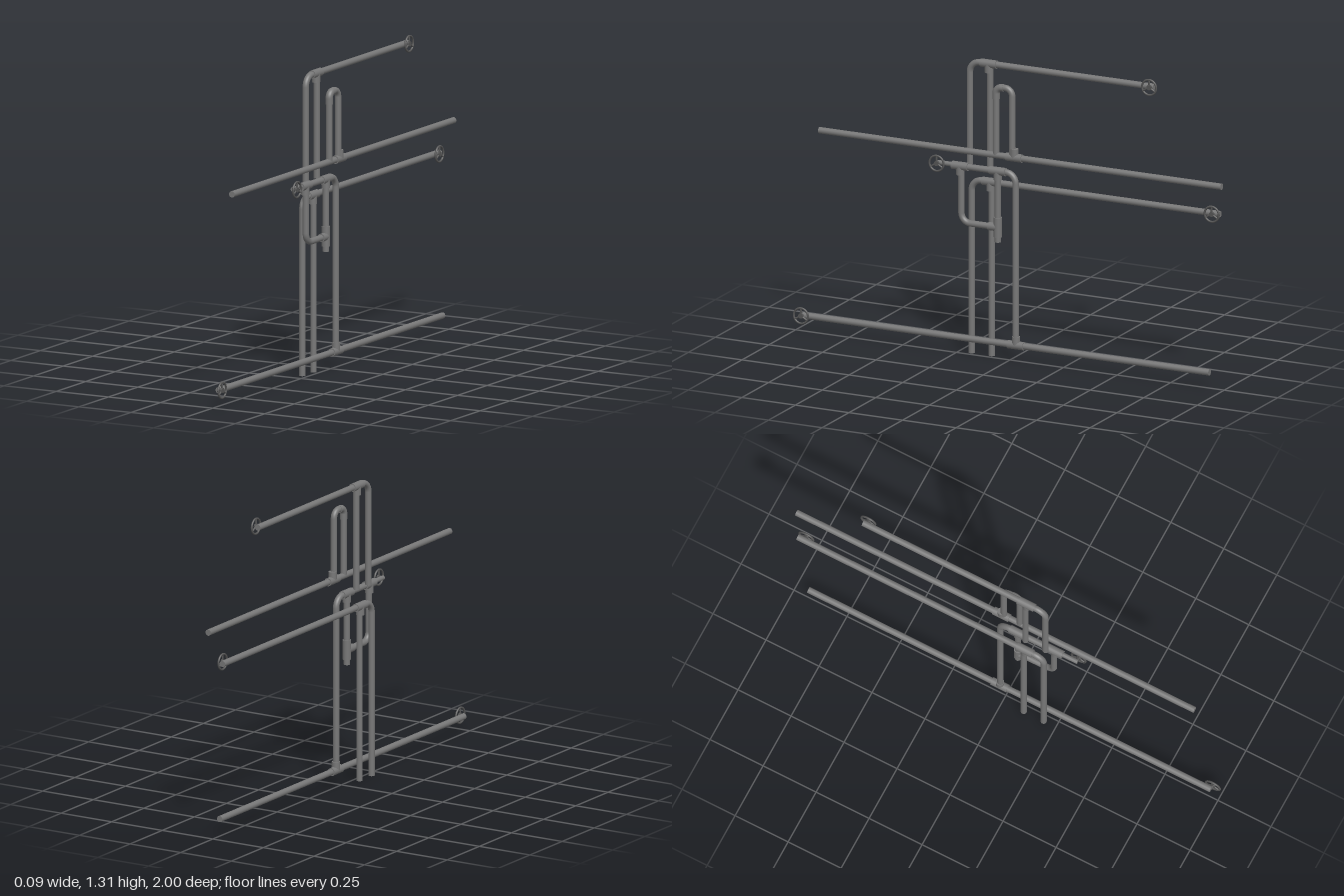
import * as THREE from 'three';

const R = 0.0135;        // pipe radius
const COLLAR = 0.0175;   // fitting radius
const pipeMaterial = new THREE.MeshStandardMaterial({ color: 0x777777 });
const wheelMaterial = new THREE.MeshStandardMaterial({ color: 0x555555 });
const UP = new THREE.Vector3(0, 1, 0);

function add(parent, name, geometry, material = pipeMaterial) {
  const mesh = new THREE.Mesh(geometry, material);
  mesh.name = name;
  parent.add(mesh);
  return mesh;
}

// Capped cylinder between two points
function rod(parent, name, a, b, radius = R, material = pipeMaterial) {
  const dir = b.clone().sub(a);
  const mesh = add(parent, name, new THREE.CylinderGeometry(radius, radius, dir.length(), 20), material);
  mesh.position.copy(a).addScaledVector(dir, 0.5);
  mesh.quaternion.setFromUnitVectors(UP, dir.normalize());
}

// Pipe through [z, y] points in the plane at x, with rounded corners
function pipe(parent, name, x, points, bend = 0.045, radius = R) {
  const p = points.map(([z, y]) => new THREE.Vector3(x, y, z));
  let start = p[0];
  for (let i = 1; i < p.length; i++) {
    if (i === p.length - 1) {
      rod(parent, name, start, p[i], radius);
      break;
    }
    const back = p[i - 1].clone().sub(p[i]).normalize();
    const ahead = p[i + 1].clone().sub(p[i]).normalize();
    const a = p[i].clone().addScaledVector(back, bend);
    const b = p[i].clone().addScaledVector(ahead, bend);
    rod(parent, name, start, a, radius);
    const curve = new THREE.CubicBezierCurve3(
      a, a.clone().lerp(p[i], 0.552), b.clone().lerp(p[i], 0.552), b);
    add(parent, name + 'Elbow', new THREE.TubeGeometry(curve, 12, radius, 20));
    start = b;
  }
}

// Thicker sleeve between two [z, y] points
function collar(parent, x, a, b) {
  rod(parent, 'collar', new THREE.Vector3(x, a[1], a[0]), new THREE.Vector3(x, b[1], b[0]), COLLAR);
}

// Tee fitting: run along z, branch going up (1) or down (-1)
function tee(parent, x, z, y, side) {
  const g = new THREE.Group();
  g.name = 'teeFitting';
  collar(g, x, [z - 0.037, y], [z + 0.037, y]);
  collar(g, x, [z, y], [z, y + side * 0.038]);
  parent.add(g);
}

// Three-spoke hand wheel on a short stem at the side of a pipe
function handWheel(parent, x, z, y) {
  const g = new THREE.Group();
  g.name = 'handWheel';
  const ring = add(g, 'rim', new THREE.TorusGeometry(0.033, 0.0045, 10, 36), wheelMaterial);
  ring.rotation.y = Math.PI / 2;
  for (let i = 0; i < 3; i++) {
    const t = i * Math.PI * 2 / 3;
    const tip = new THREE.Vector3(0, 0.033 * Math.cos(t), 0.033 * Math.sin(t));
    rod(g, 'spoke', new THREE.Vector3(), tip, 0.004, wheelMaterial);
  }
  rod(g, 'hub', new THREE.Vector3(-0.0045, 0, 0), new THREE.Vector3(0.0045, 0, 0), 0.011, wheelMaterial);
  rod(g, 'stem', new THREE.Vector3(-0.018, 0, 0), new THREE.Vector3(), 0.006, wheelMaterial);
  g.position.set(x + 0.018, y, z);
  parent.add(g);
}

export function createModel() {
  const model = new THREE.Group();
  model.name = 'pipework';
  const section = (name) => {
    const g = new THREE.Group();
    g.name = name;
    model.add(g);
    return g;
  };

  // Two matching branches: a pair of legs feeding a long pipe to the back
  const branches = [
    ['upperBranch', -0.011, 0.825, 1.272, -0.653, -0.668],
    ['lowerBranch', -0.027, 0, 0.754, -0.937, -0.968],
  ];
  for (const [name, x, bottom, top, wheelZ, end] of branches) {
    const g = section(name);
    pipe(g, 'mainPipe', x, [[0.192, bottom], [0.192, top], [end, top]]);
    pipe(g, 'secondLeg', x, [[0.098, bottom], [0.098, top]]);
    tee(g, x, 0.104, top, -1);
    handWheel(g, x, wheelZ, top);
  }

  // Long middle pipe with a hairpin loop above it
  const middle = section('middleLine');
  const mx = 0.023;
  pipe(middle, 'longPipe', mx, [[0.878, 0.89], [-1, 0.89]]);
  pipe(middle, 'loop', mx, [[-0.022, 0.89], [-0.022, 1.187], [0.053, 1.187], [0.053, 0.89]], 0.032);
  pipe(middle, 'loopFitting', mx, [[0.053, 1.135], [0.053, 1.186], [0.018, 1.186]], 0.026, 0.0155);
  tee(middle, mx, -0.032, 0.89, 1);

  // Bottom pipe with a riser and a bypass loop at the top
  const bottom = section('bottomLine');
  const bx = 0.007;
  pipe(bottom, 'longPipe', bx, [[0.963, 0.07], [-0.935, 0.07]]);
  handWheel(bottom, bx, 0.963, 0.072);
  tee(bottom, bx, -0.032, 0.07, 1);
  pipe(bottom, 'riser', bx, [[-0.03, 0.07], [-0.03, 0.816], [0.235, 0.816]]);
  pipe(bottom, 'valvePipe', bx, [[0.23, 0.818], [0.334, 0.818]], 0, 0.01);
  handWheel(bottom, bx, 0.33, 0.818);
  tee(bottom, bx, 0.228, 0.816, -1);
  pipe(bottom, 'bypass', bx, [[0.223, 0.816], [0.223, 0.572], [0.053, 0.572]], 0.042);
  pipe(bottom, 'drainLeg', bx, [[0.053, 0.816], [0.053, 0.508]]);
  tee(bottom, bx, 0.053, 0.816, -1);
  collar(bottom, bx, [0.053, 0.615], [0.053, 0.53]);
  collar(bottom, bx, [0.053, 0.572], [0.095, 0.572]);

  return model;
}
